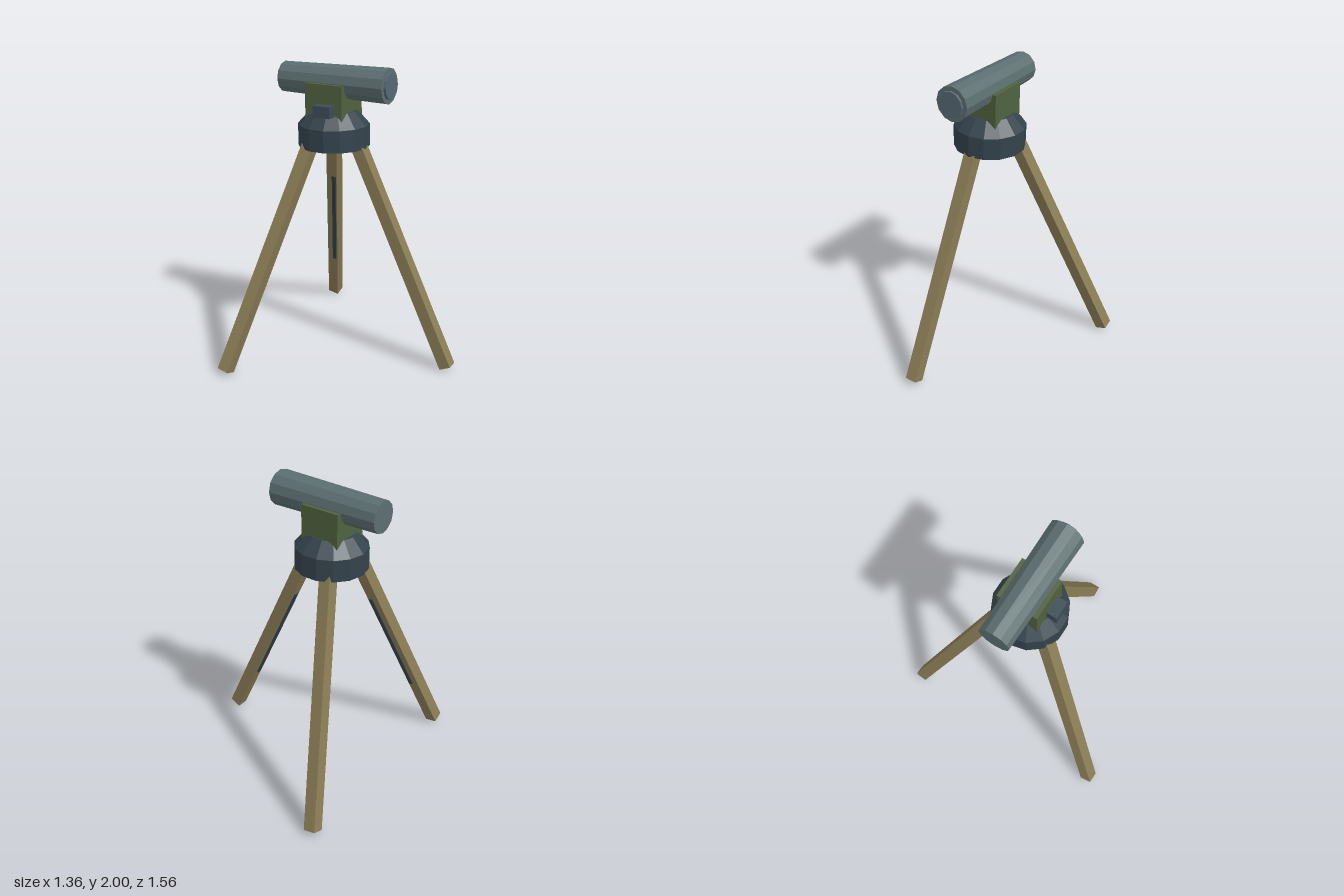
import * as THREE from 'three';

const mat = (name, color) => {
  const m = new THREE.MeshStandardMaterial({ color, flatShading: true });
  m.name = name;
  return m;
};

export function createModel() {
  const wood = mat('wood', 0x8a7d55);
  const darkSteel = mat('darkSteel', 0x34434c);
  const steel = mat('steel', 0x3c4c56);
  const olive = mat('olive', 0x50623f);
  const tubeGrey = mat('tubeGrey', 0x5c6e70);
  const glass = mat('glass', 0x566973);

  const group = new THREE.Group();
  const headX = -0.214; // vertical axis of the tripod head
  const add = (name, geometry, material, x, y, z) => {
    const mesh = new THREE.Mesh(geometry, material);
    mesh.name = name;
    mesh.position.set(x, y, z);
    group.add(mesh);
    return mesh;
  };

  // Tripod head: straight drum with a bevelled cap, 14 sides
  const drum = (rTop, rBottom, h) =>
    new THREE.CylinderGeometry(rTop, rBottom, h, 14).rotateY(Math.PI / 2);
  add('headDrum', drum(0.237, 0.237, 0.145), darkSteel, headX, 1.5325, 0);
  add('headCap', drum(0.155, 0.237, 0.09), darkSteel, headX, 1.65, 0);

  // Cradle block and its adjusting knob
  add('cradle', new THREE.BoxGeometry(0.27, 0.25, 0.27), olive, headX, 1.755, 0);
  add('knob', new THREE.BoxGeometry(0.12, 0.075, 0.09), steel, -0.19, 1.7175, 0.16);

  // Tapered telescope tube lying along x, with a lens at the wide end
  const lying = (rRight, rLeft, length) =>
    new THREE.CylinderGeometry(rRight, rLeft, length, 12).rotateZ(-Math.PI / 2);
  add('telescopeTube', lying(0.116, 0.102, 0.77), tubeGrey, -0.195, 1.884, 0);
  add('lens', lying(0.087, 0.087, 0.04), glass, 0.186, 1.884, 0);

  // Three splayed square legs, each with a metal strip on the inner side
  const up = new THREE.Vector3(0, 1, 0);
  for (let i = 0; i < 3; i++) {
    const a = (i * Math.PI * 2) / 3;
    const at = (r, y) => new THREE.Vector3(headX + r * Math.cos(a), y, r * Math.sin(a));
    const foot = at(0.857, 0.024);
    const top = at(0.163, 1.52);
    const axis = top.clone().sub(foot);
    const length = axis.length();
    const tilt = new THREE.Quaternion().setFromUnitVectors(up, axis.normalize());

    const leg = add('leg', new THREE.BoxGeometry(0.081, length, 0.081), wood, 0, 0, 0);
    leg.position.copy(at(0.51, 0.772));
    leg.quaternion.copy(tilt);

    const strip = add('legStrip', new THREE.BoxGeometry(0.03, 0.85, 0.03), darkSteel, 0, 0, 0);
    strip.position.copy(at(0.47, 0.772));
    strip.quaternion.copy(tilt);
  }
  return group;
}
